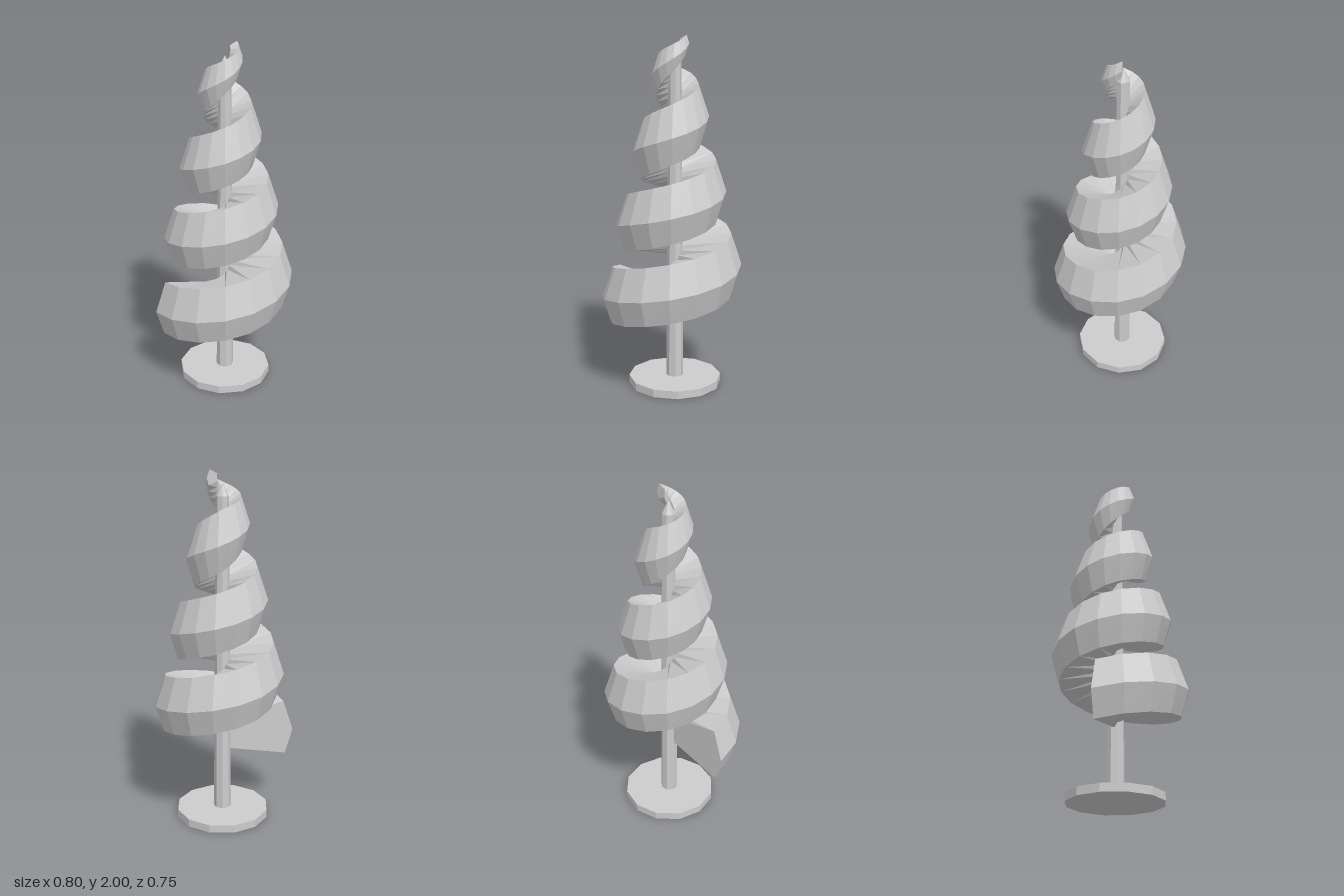
import * as THREE from 'three';

const AXIS_X = 0.018, AXIS_Z = -0.022;

// Faceted look: every face gets its own normal
function faceted(geometry) {
  const g = geometry.index ? geometry.toNonIndexed() : geometry;
  g.computeVertexNormals();
  return g;
}

// Wedge-shaped cross-section swept up a narrowing helix
function spiralGeometry() {
  const turns = 3.5, perTurn = 16, steps = turns * perTurn, n = 5;
  const positions = [], index = [];
  for (let i = 0; i <= steps; i++) {
    const t = i / perTurn;
    const angle = THREE.MathUtils.degToRad(210 - 360 * t);
    const radius = 0.427 - 0.08 * t - 0.005 * t * t;
    const y = 0.485 + 0.42 * t;
    const s = Math.min(1, 0.25 + (turns - t) * 0.95); // taper near the tip
    const section = [
      [0.03, -0.08 * s],
      [radius - 0.045 * s, -0.148 * s],
      [radius, 0],
      [radius - 0.06 * s, 0.18 * s],
      [0.03, 0.1 * s],
    ];
    for (const [r, h] of section) {
      positions.push(r * Math.cos(angle), y + h, r * Math.sin(angle));
    }
  }
  for (let i = 0; i < steps; i++) {
    for (let j = 0; j < n; j++) {
      const a = i * n + j, b = i * n + (j + 1) % n;
      index.push(a, a + n, b + n, a, b + n, b);
    }
  }
  // End caps
  const last = steps * n;
  for (let j = 1; j < n - 1; j++) {
    index.push(0, j, j + 1, last, last + j + 1, last + j);
  }
  const g = new THREE.BufferGeometry();
  g.setAttribute('position', new THREE.Float32BufferAttribute(positions, 3));
  g.setIndex(index);
  return faceted(g);
}

export function createModel() {
  const grey = new THREE.MeshStandardMaterial({ color: 0xcccccc, flatShading: true });
  grey.name = 'lightGrey';

  const tree = new THREE.Group();
  tree.name = 'spiralTree';
  tree.position.set(AXIS_X, 0, AXIS_Z);

  function add(name, geometry, y = 0) {
    const mesh = new THREE.Mesh(faceted(geometry), grey);
    mesh.name = name;
    mesh.position.y = y;
    tree.add(mesh);
  }

  // Round stand
  add('base', new THREE.CylinderGeometry(0.268, 0.268, 0.045, 12), 0.0225);
  // Tapered trunk with a pointed end
  add('trunk', new THREE.CylinderGeometry(0.036, 0.05, 1.82, 8), 0.95);
  add('trunkTip', new THREE.ConeGeometry(0.036, 0.07, 8), 1.895);
  // Foliage winding around the trunk
  add('spiralFoliage', spiralGeometry());

  const model = new THREE.Group();
  model.name = 'model';
  model.add(tree);
  return model;
}
